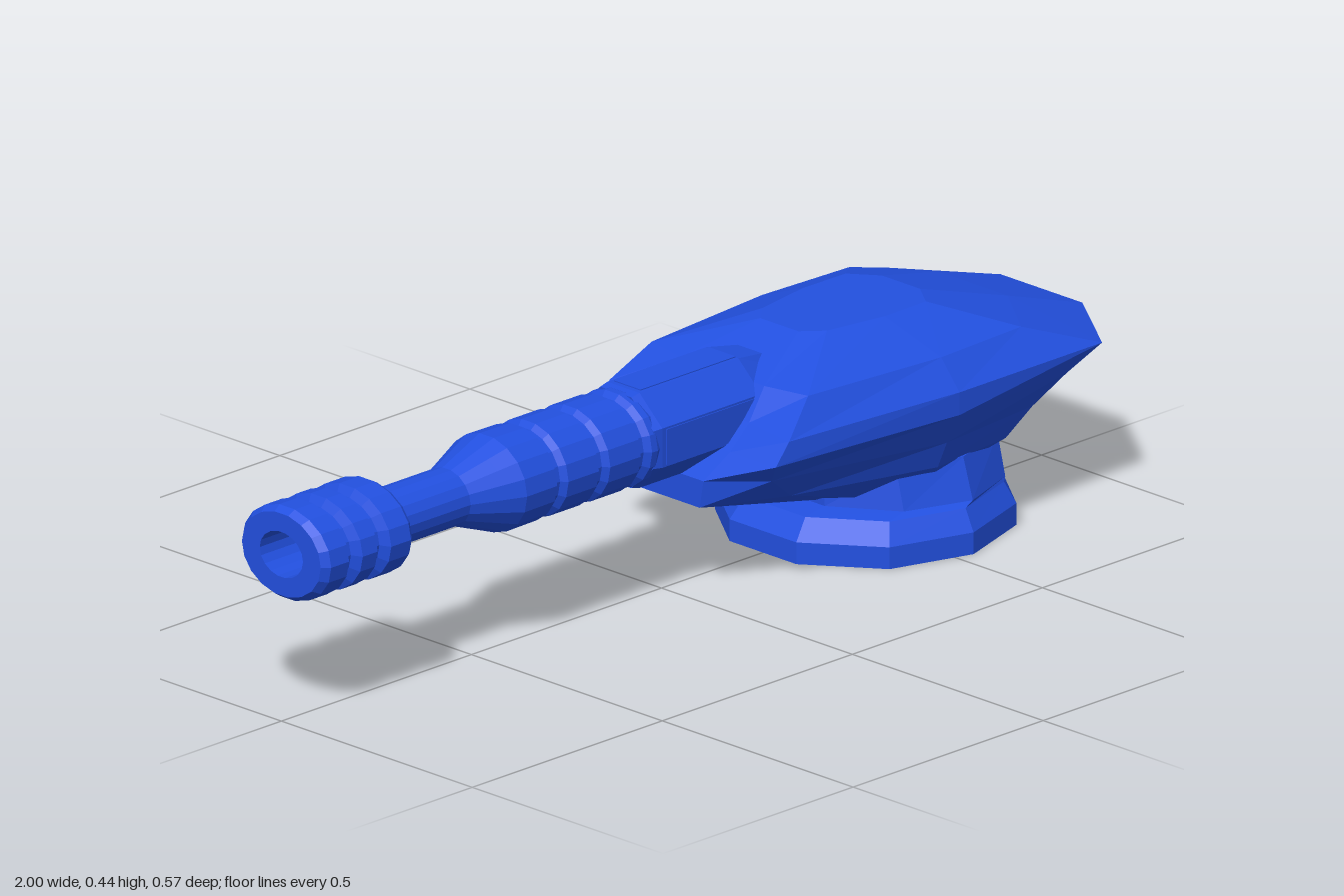
import * as THREE from 'three';

const mat = new THREE.MeshStandardMaterial({ color: 0x2250e0, flatShading: true });

function add(parent, name, geometry) {
  const m = new THREE.Mesh(geometry, mat);
  m.name = name;
  parent.add(m);
  return m;
}

// Skin a stack of rings (each a list of [x, y, z]) and close both ends.
function loft(rings) {
  const n = rings[0].length, idx = [];
  for (let r = 0; r < rings.length - 1; r++) {
    for (let j = 0; j < n; j++) {
      const k = (j + 1) % n, a = r * n + j, b = r * n + k;
      idx.push(a, b, b + n, a, b + n, a + n);
    }
  }
  const top = (rings.length - 1) * n;
  for (let j = 1; j < n - 1; j++) {
    idx.push(0, j + 1, j, top, top + j, top + j + 1);
  }
  const g = new THREE.BufferGeometry();
  g.setAttribute('position', new THREE.Float32BufferAttribute(rings.flat(2), 3));
  g.setIndex(idx);
  const flat = g.toNonIndexed();
  flat.computeVertexNormals();
  return flat;
}

// Complete a half outline by mirroring it across z = 0.
const mirror = (half) => [...half, ...half.slice().reverse().map(([x, y, z]) => [x, y, -z])];

// Ten-sided ring with a flat side facing the rear.
function decagon(y, cx, rx, rz) {
  return Array.from({ length: 10 }, (_, i) => {
    const t = (i + 0.5) * Math.PI / 5;
    return [cx + rx * Math.cos(t), y, -rz * Math.sin(t)];
  });
}

// Round part along the x axis from [x, radius] pairs running towards the muzzle.
function turned(pairs, widen) {
  const g = new THREE.LatheGeometry(pairs.map(([x, r]) => new THREE.Vector2(r, -x)), 18);
  g.rotateZ(Math.PI / 2);
  g.scale(1, 1, widen);
  g.translate(0, 0.33, 0);
  return g;
}

export function createModel() {
  const model = new THREE.Group();
  model.name = 'turret';

  // Pedestal
  add(model, 'pedestal', loft([
    decagon(0, 0.537, 0.284, 0.283),
    decagon(0.043, 0.537, 0.284, 0.283),
    decagon(0.083, 0.542, 0.256, 0.257),
    decagon(0.09, 0.568, 0.227, 0.25),
    decagon(0.17, 0.568, 0.227, 0.225),
  ]));

  // Armoured housing, half outlines from nose to rear, bottom to top
  const housing = [
    [[0.39, 0.087, 0.05], [0.42, 0.1, 0.12], [0.53, 0.12, 0.18], [0.66, 0.13, 0.15], [0.74, 0.13, 0.06]],
    [[0.01, 0.18, 0.09], [0.2, 0.167, 0.14], [0.5, 0.167, 0.226], [0.7, 0.167, 0.205], [0.785, 0.167, 0.083]],
    [[0.01, 0.235, 0.1], [0.1, 0.235, 0.19], [0.5, 0.222, 0.25], [0.75, 0.222, 0.225], [0.82, 0.222, 0.092]],
    [[0.06, 0.285, 0.12], [0.065, 0.283, 0.235], [0.5, 0.285, 0.283], [0.8, 0.285, 0.265], [0.87, 0.285, 0.1]],
    [[0.11, 0.33, 0.12], [0.1, 0.325, 0.235], [0.5, 0.33, 0.283], [0.875, 0.33, 0.283], [1, 0.33, 0.107]],
    [[0.16, 0.387, 0.11], [0.18, 0.387, 0.205], [0.5, 0.387, 0.235], [0.72, 0.387, 0.225], [0.82, 0.387, 0.09]],
    [[0.31, 0.44, 0.05], [0.35, 0.44, 0.085], [0.48, 0.44, 0.107], [0.59, 0.44, 0.105], [0.63, 0.44, 0.05]],
  ];
  add(model, 'housing', loft(housing.map(mirror)));

  const gun = new THREE.Group();
  gun.name = 'gun';
  model.add(gun);

  // Breech block, bevelled and tapering into the housing
  const breechRing = (x, h, w, y) => Array.from({ length: 8 }, (_, i) => {
    const t = (i + 0.5) * Math.PI / 4, s = 1 / Math.cos(Math.PI / 8);
    return [x, y + h * s * Math.sin(t), -w * s * Math.cos(t)];
  });
  add(gun, 'breech', loft([
    breechRing(-0.12, 0.09, 0.098, 0.33),
    breechRing(-0.1, 0.094, 0.102, 0.33),
    breechRing(0.16, 0.094, 0.102, 0.33),
    breechRing(0.31, 0.06, 0.05, 0.34),
  ]));

  // Thin access panels on the breech
  const topPanel = add(gun, 'topPanel', new THREE.BoxGeometry(0.25, 0.006, 0.07));
  topPanel.position.set(0.035, 0.423, 0);
  for (const s of [1, -1]) {
    const p = add(gun, 'sidePanel', new THREE.BoxGeometry(0.25, 0.07, 0.006));
    p.position.set(0.035, 0.33, s * 0.101);
  }

  // Ribbed sleeve and slim barrel
  const sleeve = [[-0.1, 0], [-0.1, 0.088], [-0.115, 0.094]];
  for (const x of [-0.14, -0.25, -0.36]) {
    sleeve.push([x + 0.01, 0.094], [x, 0.083], [x - 0.015, 0.083], [x - 0.02, 0.094]);
  }
  sleeve.push([-0.46, 0.095], [-0.5, 0.08], [-0.565, 0.056], [-0.8, 0.056]);
  add(gun, 'barrel', turned(sleeve, 1.12));

  // Muzzle collar with three ribs and an open bore
  const collar = [[-0.745, 0], [-0.745, 0.056], [-0.765, 0.086], [-0.775, 0.092]];
  for (const x of [-0.845, -0.92]) {
    collar.push([x + 0.018, 0.092], [x + 0.008, 0.075], [x - 0.008, 0.075], [x - 0.018, 0.092]);
  }
  collar.push([-0.985, 0.092], [-1, 0.082], [-1, 0.045], [-0.88, 0.045], [-0.88, 0]);
  add(gun, 'muzzle', turned(collar, 1.26));

  return model;
}
